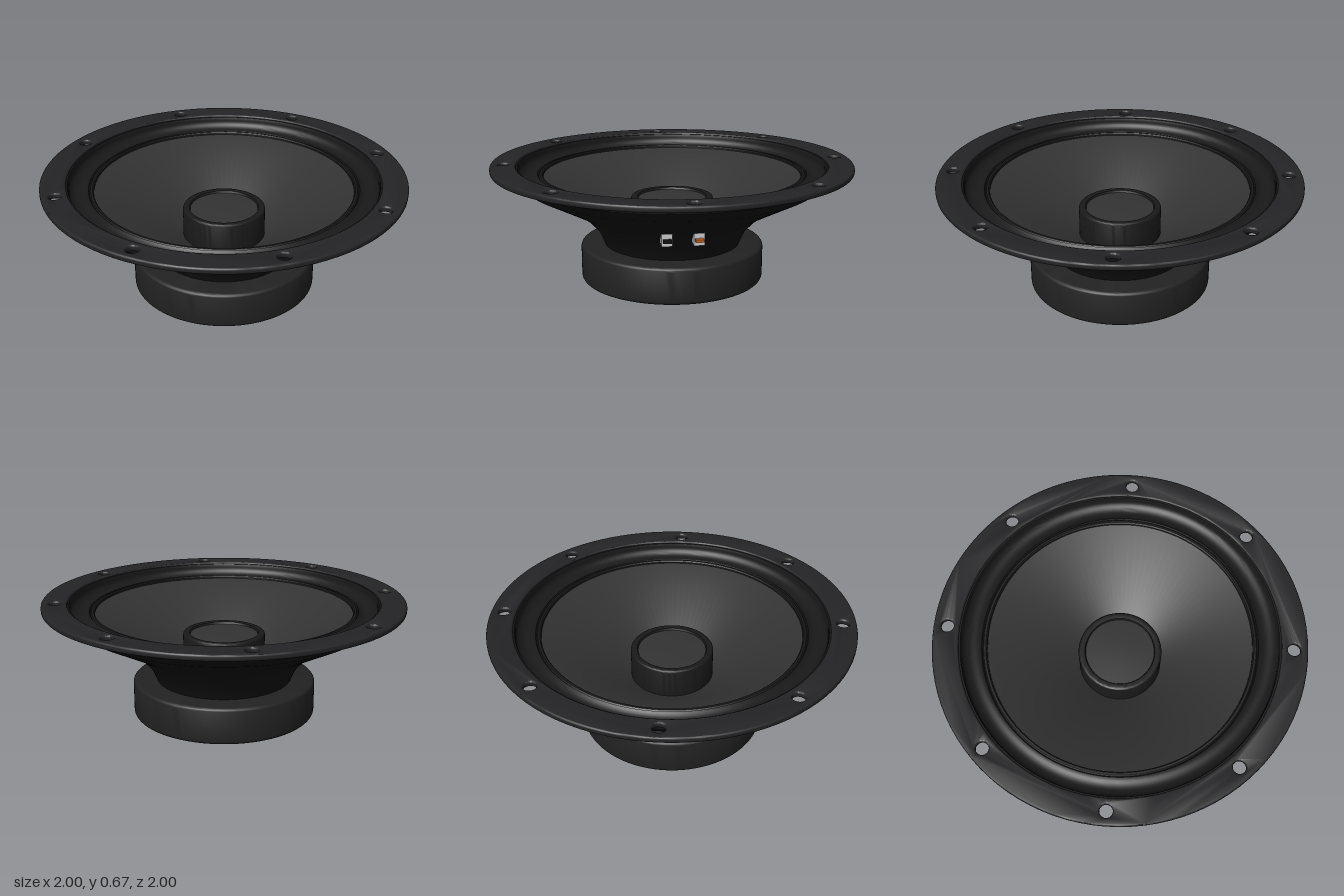
import * as THREE from 'three';
import { toCreasedNormals } from 'three/addons/utils/BufferGeometryUtils.js';

const SEGMENTS = 96;

function material(color, open = false) {
  const m = new THREE.MeshStandardMaterial({ color });
  if (open) m.side = THREE.DoubleSide;
  return m;
}

function addMesh(parent, name, geometry, mat) {
  const mesh = new THREE.Mesh(geometry, mat);
  mesh.name = name;
  parent.add(mesh);
  return mesh;
}

// Revolved part from [radius, height] pairs
function lathe(profile, crease = 0.6) {
  const points = profile.map(([r, y]) => new THREE.Vector2(r, y));
  return toCreasedNormals(new THREE.LatheGeometry(points, SEGMENTS), crease);
}

// Profile points along an arc, angles in degrees
function arc(cx, cy, rx, ry, from, to, steps) {
  return Array.from({ length: steps + 1 }, (_, i) => {
    const a = THREE.MathUtils.degToRad(from + ((to - from) * i) / steps);
    return [cx + rx * Math.cos(a), cy + ry * Math.sin(a)];
  });
}

export function createModel() {
  const group = new THREE.Group();
  group.name = 'loudspeakerDriver';

  // Mounting flange with eight screw holes
  const ring = new THREE.Shape().absarc(0, 0, 1, 0, Math.PI * 2, false);
  ring.holes.push(new THREE.Path().absarc(0, 0, 0.86, 0, Math.PI * 2, true));
  for (let i = 0; i < 8; i++) {
    const a = (i * Math.PI) / 4;
    ring.holes.push(new THREE.Path().absarc(
      0.926 * Math.cos(a), 0.926 * Math.sin(a), 0.034, 0, Math.PI * 2, true));
  }
  const flange = new THREE.ExtrudeGeometry(ring, {
    depth: 0.012, bevelThickness: 0.01, bevelSize: 0.008, bevelOffset: -0.008,
    bevelSegments: 3, curveSegments: 48,
  });
  flange.rotateX(-Math.PI / 2).translate(0, 0.645, 0);
  addMesh(group, 'flange', toCreasedNormals(flange, 0.6), material(0x242426));

  // Basket below the flange
  addMesh(group, 'basket', lathe([
    [0, 0.2], [0.38, 0.2], [0.388, 0.22], [0.42, 0.29], [0.49, 0.365], [0.54, 0.4],
    [0.61, 0.438], [0.805, 0.54], [0.855, 0.59], [0.855, 0.622], [0.868, 0.626], [0.868, 0.645],
  ], 0.5), material(0x111111, true));

  // Magnet with rounded edges and a dimple in the underside
  addMesh(group, 'magnet', lathe([
    [0, 0.03], [0.035, 0.025], [0.065, 0],
    ...arc(0.493, 0.022, 0.022, 0.022, -90, 0, 5),
    ...arc(0.493, 0.183, 0.022, 0.022, 0, 90, 5),
    [0, 0.205],
  ]), material(0x222222));

  // Concave flexible surround
  addMesh(group, 'surround', lathe([
    [0.872, 0.658], [0.852, 0.656], [0.848, 0.645],
    ...arc(0.792, 0.635, 0.056, 0.045, 0, -150, 12),
    [0.738, 0.604],
  ], 0.5), material(0x191919, true));

  // Cone with a raised outer lip
  addMesh(group, 'coneLip', lathe([
    [0.738, 0.59], [0.738, 0.606], [0.732, 0.612], [0.72, 0.612], [0.714, 0.606], [0.712, 0.59],
  ]), material(0x191919, true));
  addMesh(group, 'cone', lathe([
    [0.735, 0.6], [0.714, 0.598], [0.22, 0.295],
  ]), material(0x333333, true));

  // Central cylinder with rim, and the cap set into it
  addMesh(group, 'centreCylinder', lathe([
    [0.23, 0.28], ...arc(0.216, 0.453, 0.014, 0.014, 0, 90, 4),
    [0.194, 0.464], [0.188, 0.45],
  ]), material(0x191919, true));
  addMesh(group, 'centreCap', lathe([
    [0.19, 0.453], [0.13, 0.457], [0.06, 0.46], [0, 0.461],
  ]), material(0x333333, true));

  // Two wiring terminals on the left side
  for (const [name, z, color] of [['darkTerminal', 0.085, 0x151515], ['copperTerminal', -0.08, 0xc8641e]]) {
    const terminal = new THREE.Group();
    terminal.name = name;
    terminal.position.set(0, 0.367, z);
    const sleeve = new THREE.BoxGeometry(0.11, 0.065, 0.056).translate(0.485, 0, 0);
    const tab = new THREE.BoxGeometry(0.07, 0.015, 0.044).translate(0.535, 0, 0);
    addMesh(terminal, 'terminalBlock', sleeve, material(0xcccccc));
    addMesh(terminal, 'terminalTab', tab, material(color));
    group.add(terminal);
  }

  return group;
}
